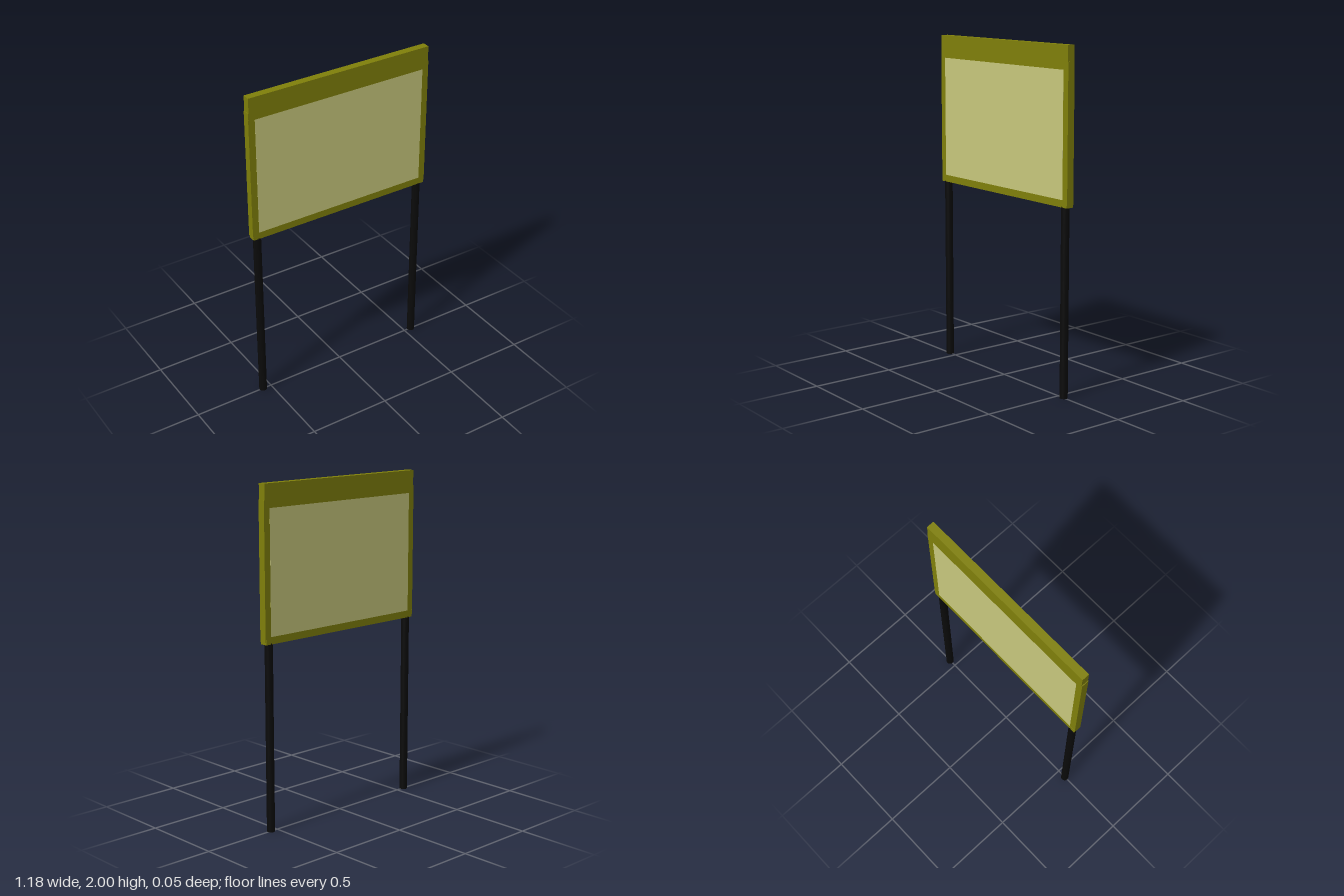
import * as THREE from 'three';

const olive = new THREE.MeshStandardMaterial({ color: 0x80800a });
const pale = new THREE.MeshStandardMaterial({ color: 0xc8c87d });
const black = new THREE.MeshStandardMaterial({ color: 0x0a0a0a });

// Box given by its extents in x and y, centred on z = 0
function slab(name, x0, x1, y0, y1, depth, material) {
  const mesh = new THREE.Mesh(new THREE.BoxGeometry(x1 - x0, y1 - y0, depth), material);
  mesh.position.set((x0 + x1) / 2, (y0 + y1) / 2, 0);
  mesh.name = name;
  return mesh;
}

export function createModel() {
  const model = new THREE.Group();
  model.name = 'signBoard';

  // Board frame: deep header, thin sill, side rails standing slightly proud
  const frame = new THREE.Group();
  frame.name = 'frame';
  frame.add(
    slab('headerRail', -0.588, 0.584, 1.865, 2, 0.046, olive),
    slab('bottomRail', -0.588, 0.584, 1.105, 1.147, 0.046, olive),
    slab('rightRail', -0.592, -0.552, 1.12, 1.91, 0.045, olive),
    slab('leftRail', 0.548, 0.588, 1.12, 1.91, 0.045, olive)
  );
  model.add(frame);

  // Infill panel, flush with the frame on both faces
  model.add(slab('panel', -0.552, 0.548, 1.147, 1.865, 0.046, pale));

  // Round posts
  const postGeometry = new THREE.CylinderGeometry(0.0235, 0.0235, 1.11, 24);
  for (const [name, x] of [['rightPost', -0.555], ['leftPost', 0.547]]) {
    const post = new THREE.Mesh(postGeometry, black);
    post.position.set(x, 0.555, 0);
    post.name = name;
    model.add(post);
  }
  return model;
}
